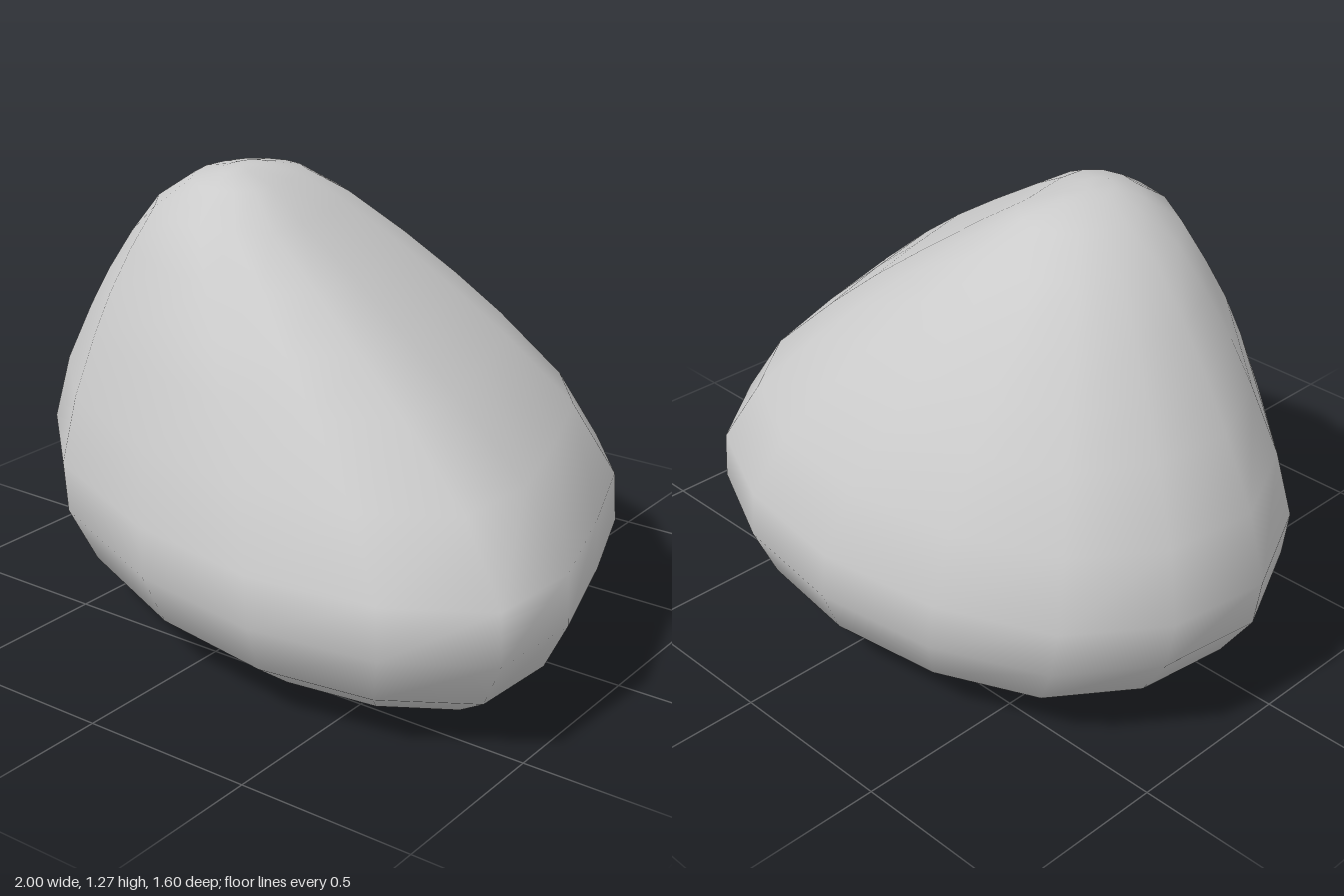
import * as THREE from 'three';

// Plan outline of the boulder at its widest, as [x, z]
const OUTLINE = [
  [-1, -0.07], [-0.96, -0.37], [-0.78, -0.61], [-0.47, -0.75],
  [-0.1, -0.8], [0.27, -0.75], [0.58, -0.61], [0.77, -0.37],
  [0.89, -0.05], [1, 0.3], [0.98, 0.59], [0.72, 0.75],
  [0.35, 0.8], [-0.07, 0.73], [-0.55, 0.52], [-0.85, 0.24],
];

// Horizontal sections, bottom to top: [y, xMin, xMax, zMin, zMax]
const SECTIONS = [
  [0, -0.28, 0.58, -0.27, 0.35],
  [0.04, -0.65, 0.78, -0.56, 0.58],
  [0.15, -0.87, 0.92, -0.73, 0.73],
  [0.3, -0.975, 1, -0.8, 0.8],
  [0.44, -1, 0.99, -0.8, 0.79],
  [0.63, -0.945, 0.84, -0.73, 0.71],
  [0.81, -0.835, 0.61, -0.62, 0.62],
  [0.93, -0.75, 0.44, -0.53, 0.55],
  [1.05, -0.655, 0.25, -0.43, 0.46],
  [1.17, -0.535, 0.05, -0.31, 0.37],
  [1.245, -0.41, -0.09, -0.18, 0.24],
  [1.27, -0.3, -0.19, -0.05, 0.15],
];

// Fits the outline into each section's extents and skins the rings
function boulderGeometry() {
  const n = OUTLINE.length;
  const positions = [];
  const index = [];
  for (const [y, x0, x1, z0, z1] of SECTIONS) {
    for (const [x, z] of OUTLINE) {
      positions.push(
        THREE.MathUtils.mapLinear(x, -1, 1, x0, x1),
        y,
        THREE.MathUtils.mapLinear(z, -0.8, 0.8, z0, z1),
      );
    }
  }
  for (let i = 0; i < SECTIONS.length - 1; i++) {
    for (let j = 0; j < n; j++) {
      const k = (j + 1) % n;
      const a = i * n + j, b = i * n + k;
      index.push(a, a + n, b, b, a + n, b + n);
    }
  }
  // Close the flat base and the crown around a centre point
  const cap = (row, y, up) => {
    const [, x0, x1, z0, z1] = SECTIONS[row];
    const centre = positions.length / 3;
    positions.push((x0 + x1) / 2, y, (z0 + z1) / 2);
    for (let j = 0; j < n; j++) {
      const a = row * n + j, b = row * n + (j + 1) % n;
      index.push(centre, up ? b : a, up ? a : b);
    }
  };
  cap(0, 0, false);
  cap(SECTIONS.length - 1, 1.275, true);

  const geometry = new THREE.BufferGeometry();
  geometry.setAttribute('position', new THREE.Float32BufferAttribute(positions, 3));
  geometry.setIndex(index);
  geometry.computeVertexNormals();
  return geometry;
}

export function createModel() {
  const group = new THREE.Group();
  group.name = 'rock';
  const boulder = new THREE.Mesh(
    boulderGeometry(),
    new THREE.MeshStandardMaterial({ color: 0xcccccc }),
  );
  boulder.name = 'boulder';
  group.add(boulder);
  return group;
}
